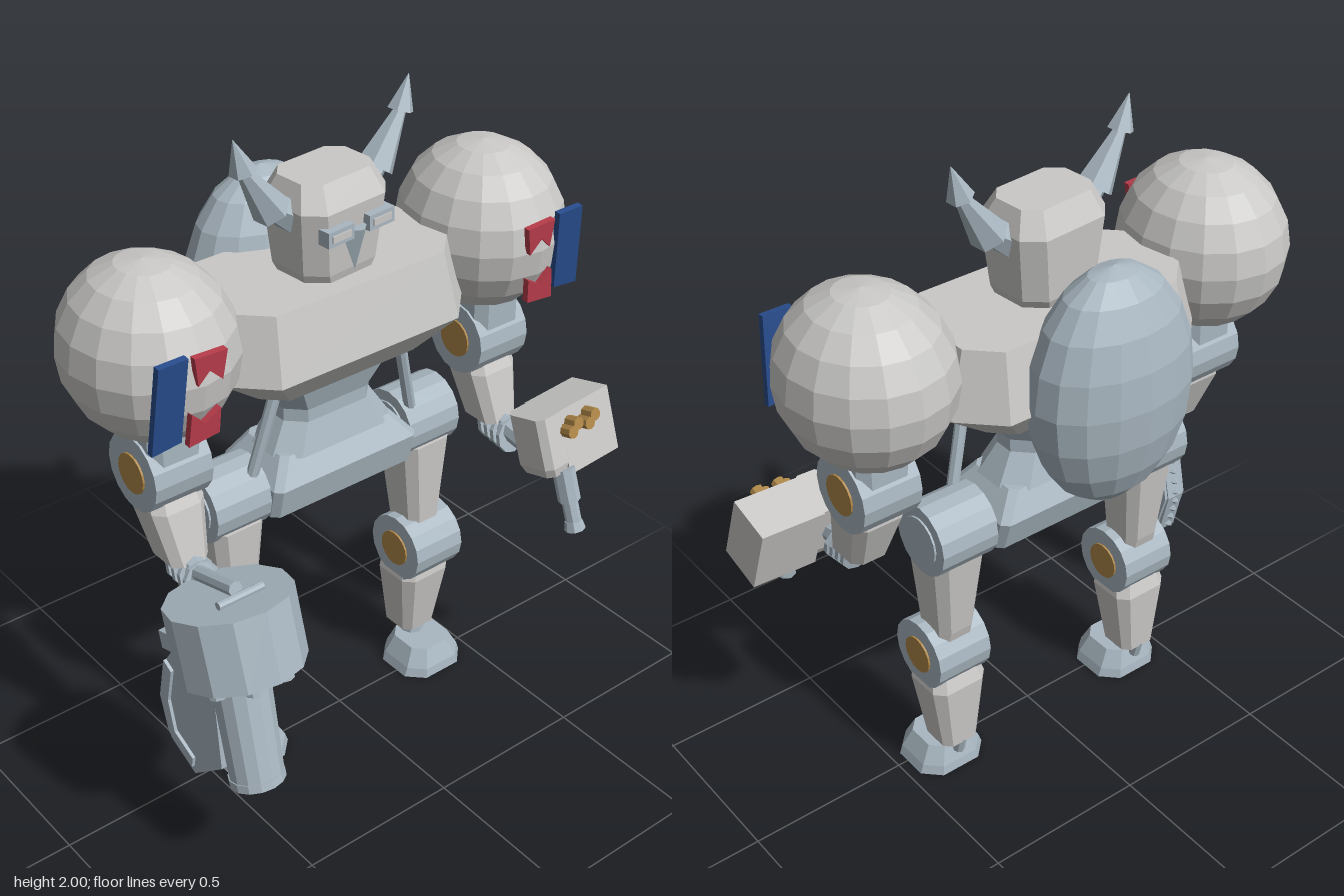
import * as THREE from 'three';

const mat = (name, color) => Object.assign(new THREE.MeshStandardMaterial({ color }), { name });
const V = (x, y, z) => new THREE.Vector3(x, y, z);

// Faceted copy of a geometry
function flat(g) {
  const f = g.index ? g.toNonIndexed() : g;
  f.computeVertexNormals();
  return f;
}

// Stack of chamfered rectangles, bottom to top: [y, halfWidth, zBack, zFront, chamfer]
function loft(sections) {
  const rings = sections.map(([y, h, a, b, c]) => [
    [c - h, b], [h - c, b], [h, b - c], [h, a + c], [h - c, a], [c - h, a], [-h, a + c], [-h, b - c],
  ].map(([x, z]) => [x, y, z]));
  const p = [];
  const tri = (...t) => t.forEach((v) => p.push(...v));
  for (let k = 0; k + 1 < rings.length; k++) {
    const a = rings[k], b = rings[k + 1];
    for (let i = 0; i < 8; i++) {
      const j = (i + 1) % 8;
      tri(a[i], a[j], b[j]);
      tri(a[i], b[j], b[i]);
    }
  }
  const lo = rings[0], hi = rings[rings.length - 1];
  for (let i = 1; i < 7; i++) {
    tri(lo[0], lo[i + 1], lo[i]);
    tri(hi[0], hi[i], hi[i + 1]);
  }
  const g = new THREE.BufferGeometry();
  g.setAttribute('position', new THREE.Float32BufferAttribute(p, 3));
  g.computeVertexNormals();
  return g;
}

// Tapered cylinder running from a to b
function rod(a, b, r0, r1 = r0, sides = 8) {
  const d = b.clone().sub(a);
  const g = new THREE.CylinderGeometry(r1, r0, d.length(), sides);
  g.applyQuaternion(new THREE.Quaternion().setFromUnitVectors(V(0, 1, 0), d.normalize()));
  const m = a.clone().add(b).multiplyScalar(0.5);
  return flat(g.translate(m.x, m.y, m.z));
}

function ellipsoid(rx, ry, rz, w, h) {
  return flat(new THREE.SphereGeometry(1, w, h).scale(rx, ry, rz));
}

function plate(points, depth) {
  const s = new THREE.Shape(points.map(([x, y]) => new THREE.Vector2(x, y)));
  return new THREE.ExtrudeGeometry(s, { depth, bevelEnabled: false });
}

export function createModel() {
  const armour = mat('light armour', 0xc9c8c6);
  const steel = mat('blue grey steel', 0xa9b7c1);
  const brass = mat('brass', 0xae8748);
  const blue = mat('badge blue', 0x284c8c);
  const red = mat('badge red', 0xb63c4a);

  const model = new THREE.Group();
  const add = (parent, name, g, m, x = 0, y = 0, z = 0) => {
    const mesh = new THREE.Mesh(g, m);
    mesh.name = name;
    mesh.position.set(x, y, z);
    parent.add(mesh);
    return mesh;
  };
  const group = (name, x = 0, y = 0, z = 0) => {
    const g = new THREE.Group();
    g.name = name;
    g.position.set(x, y, z);
    model.add(g);
    return g;
  };
  // Joint drum lying along x with discs on both ends
  const joint = (parent, name, x, y, z, r, half, discR, discMat) => {
    add(parent, name, rod(V(-half, 0, 0), V(half, 0, 0), r, r, 16), steel, x, y, z);
    add(parent, name + 'Disc', rod(V(-half - 0.006, 0, 0), V(half + 0.006, 0, 0), discR, discR, 16), discMat, x, y, z);
  };

  // Body
  add(model, 'torso', loft([
    [1.24, 0.28, -0.24, 0.06, 0.06], [1.35, 0.42, -0.325, 0.147, 0.11], [1.545, 0.37, -0.28, 0.1, 0.08],
  ]), armour);
  add(model, 'waist', loft([
    [1.0, 0.21, -0.2, 0.02, 0.06], [1.09, 0.155, -0.17, -0.01, 0.05],
    [1.13, 0.155, -0.17, -0.01, 0.05], [1.25, 0.22, -0.2, 0.03, 0.06],
  ]), steel);
  add(model, 'pelvis', loft([
    [0.84, 0.26, -0.2, 0.03, 0.02], [0.935, 0.26, -0.23, 0.05, 0.02], [1.01, 0.2, -0.19, 0, 0.02],
  ]), steel);
  add(model, 'backPod', ellipsoid(0.255, 0.357, 0.168, 16, 10), steel, 0, 1.375, -0.355);

  // Head, turned slightly
  const head = group('head', 0, 0, -0.065);
  head.rotation.y = 0.09;
  add(head, 'helmet', loft([
    [1.53, 0.12, -0.1, 0.1, 0.05], [1.57, 0.135, -0.115, 0.11, 0.05],
    [1.76, 0.155, -0.125, 0.125, 0.05], [1.83, 0.125, -0.09, 0.085, 0.04],
  ]), armour);
  const nose = flat(new THREE.ConeGeometry(0.05, 0.13, 4).rotateX(Math.PI).scale(1, 1, 0.7));
  add(head, 'noseGuard', nose, steel, 0, 1.63, 0.118);
  for (const s of [-1, 1]) {
    add(head, 'eyeFrame', new THREE.BoxGeometry(0.092, 0.045, 0.04), steel, s * 0.075, 1.7, 0.125);
    add(head, 'eyeSlot', new THREE.BoxGeometry(0.066, 0.02, 0.006), armour, s * 0.075, 1.7, 0.146);
    add(head, 'hornBase', rod(V(s * 0.12, 1.73, 0), V(s * 0.2, 1.78, 0), 0.055, 0.035, 6), steel);
    add(head, 'hornStem', rod(V(s * 0.19, 1.765, 0), V(s * 0.295, 1.92, 0), 0.055, 0.014, 6), steel);
    add(head, 'hornTip', rod(V(s * 0.285, 1.905, 0), V(s * 0.315, 2.0, 0), 0.038, 0.001, 6), steel);
  }

  for (const s of [-1, 1]) {
    add(model, 'waistPiston', rod(V(s * 0.29, 0.98, -0.03), V(s * 0.215, 1.27, 0), 0.018), steel);

    // Leg
    const leg = group(s > 0 ? 'leftLeg' : 'rightLeg', s * 0.352);
    joint(leg, 'hip', 0, 0.9, -0.09, 0.11, 0.094, 0.075, steel);
    add(leg, 'thigh', loft([
      [0.5, 0.058, -0.125, 0, 0.02], [0.56, 0.06, -0.14, 0, 0.025], [0.84, 0.088, -0.17, 0.01, 0.03],
    ]), armour);
    joint(leg, 'knee', 0, 0.455, -0.05, 0.11, 0.09, 0.058, brass);
    add(leg, 'shin', loft([
      [0.12, 0.062, -0.14, -0.015, 0.022], [0.345, 0.093, -0.15, 0.02, 0.03], [0.4, 0.08, -0.13, 0.01, 0.03],
    ]), armour);
    add(leg, 'ankle', rod(V(0, 0.06, -0.06), V(0, 0.13, -0.07), 0.04), steel);
    add(leg, 'heelPiston', rod(V(0, 0.07, -0.11), V(0, 0.13, -0.125), 0.018), steel);
    add(leg, 'foot', loft([
      [0, 0.115, -0.12, 0.09, 0.05], [0.03, 0.105, -0.115, 0.085, 0.045], [0.088, 0.075, -0.095, 0.06, 0.035],
    ]), steel);

    // Arm
    const arm = group(s > 0 ? 'leftArm' : 'rightArm', s * 0.575);
    add(arm, 'shoulderBall', ellipsoid(0.24, 0.255, 0.262, 16, 10), armour, s * 0.005, 1.49, -0.07);
    add(arm, 'upperArm', loft([[1.1, 0.085, -0.15, 0.05, 0.03], [1.32, 0.085, -0.15, 0.05, 0.03]]), steel);
    joint(arm, 'elbow', 0, 1.135, -0.05, 0.115, 0.092, 0.06, brass);
    add(arm, 'forearm', loft([
      [0.87, 0.06, -0.05, 0.09, 0.025], [1.03, 0.085, -0.115, 0.05, 0.03], [1.09, 0.075, -0.11, 0.02, 0.03],
    ]), armour);
    add(arm, 'wrist', rod(V(0, 0.87, 0.01), V(0, 0.84, 0.2), 0.035), steel);
    for (let i = 0; i < 4; i++) {
      const z = 0.025 + i * 0.028, y = 0.845 - i * 0.004;
      add(arm, 'wristRing', rod(V(0, y, z), V(0, y + 0.003, z + 0.014), 0.056, 0.056, 10), steel);
    }

    // Shoulder badges
    const mx = (pts) => pts.map(([x, y]) => [s * x, y]);
    const badge = (name, pts, m, z, tilt) => {
      add(model, name, plate(mx(pts), 0.02), m, 0, 1.465, z).rotation.x = tilt;
    };
    badge('bluePlate', [[0.633, 0.13], [0.722, 0.13], [0.742, -0.13], [0.652, -0.12]], blue, 0.168, 0.09);
    badge('upperPennant', [[0.515, 0.115], [0.615, 0.12], [0.605, 0.035], [0.57, 0.07], [0.53, 0.03]],
      red, 0.174, 0.05);
    badge('lowerPennant', [[0.54, -0.13], [0.635, -0.14], [0.625, -0.045], [0.585, -0.085], [0.535, -0.055]],
      red, 0.172, 0.05);
  }

  // Left forearm gun
  const gun = group('leftGun', 0.62, 0.86, 0.23);
  gun.rotation.set(-0.28, 0, 0.06);
  add(gun, 'gunBox', new THREE.BoxGeometry(0.205, 0.21, 0.15), armour, 0.1, 0, 0);
  add(gun, 'gunBody', loft([
    [-0.09, 0.04, -0.06, 0.07, 0.02], [-0.06, 0.05, -0.07, 0.08, 0.02], [0.105, 0.05, -0.07, 0.08, 0.02],
  ]), armour, -0.035);
  add(gun, 'barrel', rod(V(-0.01, -0.08, 0.055), V(-0.01, -0.285, 0.055), 0.025), steel);
  add(gun, 'barrelSleeve', rod(V(-0.01, -0.08, 0.055), V(-0.01, -0.19, 0.055), 0.035), steel);
  add(gun, 'muzzle', rod(V(-0.01, -0.26, 0.055), V(-0.01, -0.29, 0.055), 0.027, 0.033), steel);
  for (const x of [0.015, 0.085]) {
    for (const [dx, dy] of [[-0.012, -0.008], [0.014, 0.01]]) {
      add(gun, 'brassFitting', rod(V(x + dx, 0.05 + dy, 0.06), V(x + dx, 0.05 + dy, 0.118), 0.02), brass);
    }
  }

  // Right arm cannon
  const cannon = group('rightCannon', -0.605, 0.9, 0.285);
  cannon.rotation.x = -0.28;
  add(cannon, 'drum', rod(V(0, -0.21, 0), V(0, 0, 0), 0.18, 0.18, 12), steel);
  add(cannon, 'cannonBarrel', rod(V(-0.03, -0.545, 0), V(-0.015, -0.2, 0), 0.077, 0.084, 14), steel);
  add(cannon, 'muzzleRim', rod(V(-0.03, -0.55, 0), V(-0.03, -0.525, 0), 0.08, 0.08, 14), steel);
  for (let i = 0; i < 8; i++) {
    const a = (i + 0.5) * Math.PI / 4;
    const x = 0.13 * Math.cos(a), z = 0.13 * Math.sin(a);
    add(cannon, 'drumBolt', rod(V(x, -0.235, z), V(x, -0.2, z), 0.026), steel);
  }
  add(cannon, 'handleStem', rod(V(0.01, 0.02, -0.15), V(0.01, 0.02, 0.03), 0.022), steel);
  add(cannon, 'handleBar', rod(V(-0.07, 0.012, 0.06), V(0.075, 0.012, 0.06), 0.012), steel);

  // Saw blade behind the cannon barrel; profile points are [z, y]
  const blade = group('sawBlade', -0.63, 0, 0);
  const side = (pts, depth) => flat(plate(pts, depth).rotateY(-Math.PI / 2));
  add(blade, 'bladePlate', side([
    [0.32, 0.65], [0.345, 0.37], [0.21, 0.255], [0.095, 0.31],
    [0.06, 0.455], [0.095, 0.6], [0.165, 0.705], [0.25, 0.73],
  ], 0.06), steel);
  const rim = [[0.095, 0.6], [0.065, 0.455], [0.1, 0.34], [0.21, 0.285],
    [0.215, 0.32], [0.13, 0.36], [0.105, 0.46], [0.13, 0.58]];
  add(blade, 'bladeRim', side(rim, 0.08), steel, 0.01);
  add(blade, 'bladeMount', new THREE.BoxGeometry(0.07, 0.055, 0.13), steel, -0.02, 0.665, 0.125).rotation.x = -0.28;
  const edge = [V(-0.03, 0.6, 0.095), V(-0.03, 0.455, 0.06), V(-0.03, 0.31, 0.095)];
  for (let i = 0; i < 8; i++) {
    const k = i < 4 ? 0 : 1;
    const p = edge[k].clone().lerp(edge[k + 1], (i % 4 + 0.5) / 4);
    add(blade, 'tooth', rod(p, p.clone().add(V(0, 0, -0.018)), 0.014, 0.002, 4), steel);
  }
  return model;
}
